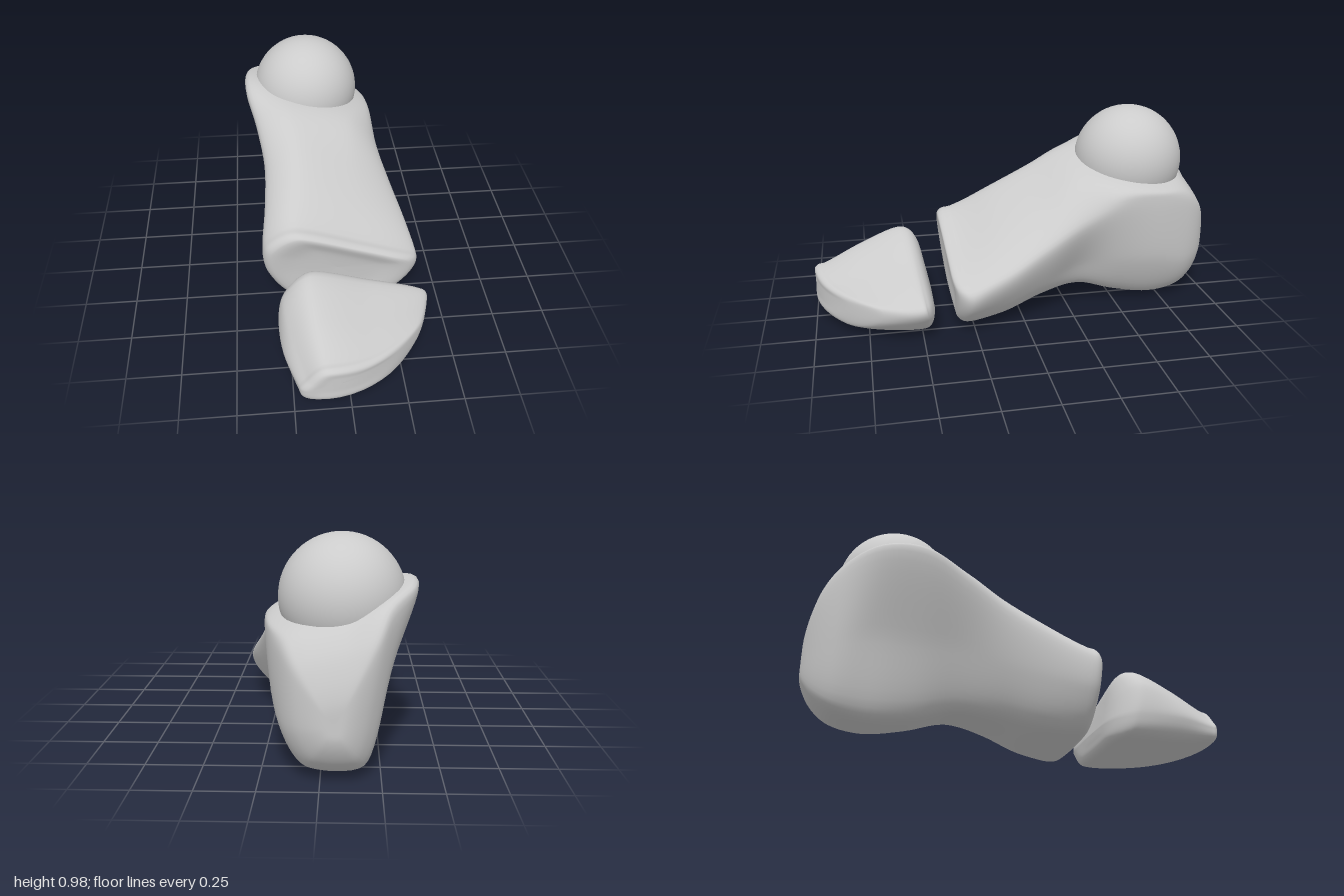
import * as THREE from 'three';

const RAILS = 8; // points per cross-section
const AROUND = 64;
const STEPS = 5; // rings between neighbouring sections

// section: [z, x0, y0, x1, y1, ...] counterclockwise from bottom left
function toRing([z, ...xy]) {
  return Array.from({ length: RAILS }, (_, k) => new THREE.Vector3(xy[2 * k], xy[2 * k + 1], z));
}

// shrunken copy of a ring, used to round off an end
function capRing(ring, z, scale, cx, cy) {
  return ring.map((p) => new THREE.Vector3(cx + (p.x - cx) * scale, cy + (p.y - cy) * scale, z));
}

// smooth skin through rings ordered from back to front; bend(p) shifts a point along z
function loft(rings, bend) {
  const rails = Array.from({ length: RAILS }, (_, k) =>
    new THREE.CatmullRomCurve3(rings.map((r) => r[k]), false, 'centripetal'));
  const rows = (rings.length - 1) * STEPS;
  const pos = [];
  const index = [];
  for (let i = 0; i <= rows; i++) {
    const loop = new THREE.CatmullRomCurve3(rails.map((c) => c.getPoint(i / rows)), true, 'catmullrom', 0.4);
    for (let j = 0; j < AROUND; j++) {
      const p = loop.getPoint(j / AROUND);
      pos.push(p.x, Math.max(p.y, 0), p.z + bend(p));
      if (i === rows) continue;
      const n = (j + 1) % AROUND;
      const a = i * AROUND + j;
      const b = i * AROUND + n;
      index.push(a, b, a + AROUND, b, b + AROUND, a + AROUND);
    }
  }
  const geo = new THREE.BufferGeometry();
  geo.setAttribute('position', new THREE.Float32BufferAttribute(pos, 3));
  geo.setIndex(index);
  geo.computeVertexNormals();
  return geo;
}

// body of sections plus rounded ends; caps are [z, scale] lists about a centre
function roundedLoft(sections, back, backCentre, front, frontCentre, bend) {
  const rings = sections.map(toRing);
  const first = rings[0];
  const last = rings[rings.length - 1];
  return loft([
    ...back.map(([z, s]) => capRing(first, z, s, ...backCentre)),
    ...rings,
    ...front.map(([z, s]) => capRing(last, z, s, ...frontCentre)),
  ], bend);
}

// lean the front face of the foot forward at its top and round its right corner
function leanFront(p) {
  const right = Math.max(0, p.x - 0.25);
  return Math.max(0, p.z - 0.2) * (0.7 * (p.y - 0.3) - 8 * right * right);
}

// sweep the toe tips back to the right, and slope the rear face
function sweepToes(p) {
  const u = THREE.MathUtils.clamp((p.z - 0.47) / 0.53, 0, 1);
  const right = Math.max(0, p.x + 0.13);
  const left = Math.max(0, -0.1 - p.x);
  const rear = 0.2 * Math.max(0, p.y - 0.12) + 1.5 * left * left;
  return (1 - u) * rear - 1.25 * u * right * right;
}

export function createModel() {
  const group = new THREE.Group();
  const material = new THREE.MeshStandardMaterial({ color: 0xcccccc });
  const add = (name, geometry) => {
    const mesh = new THREE.Mesh(geometry, material);
    mesh.name = name;
    group.add(mesh);
    return mesh;
  };

  // heel, arch and ball of the foot
  add('foot', roundedLoft(
    [
      [-0.85, -0.18, 0.05, 0.06, 0.045, 0.16, 0.22, 0.165, 0.53, 0.1, 0.6, -0.12, 0.66, -0.29, 0.695, -0.26, 0.34],
      [-0.7, -0.17, 0.03, 0.08, 0.025, 0.2, 0.25, 0.225, 0.56, 0.17, 0.63, -0.2, 0.73, -0.39, 0.755, -0.27, 0.37],
      [-0.5, -0.14, 0.06, 0.09, 0.06, 0.2, 0.26, 0.255, 0.56, 0.19, 0.655, -0.2, 0.765, -0.405, 0.76, -0.26, 0.37],
      [-0.3, -0.12, 0.115, 0.1, 0.115, 0.18, 0.25, 0.27, 0.49, 0.13, 0.66, -0.2, 0.75, -0.36, 0.67, -0.25, 0.37],
      [-0.1, -0.14, 0.095, 0.14, 0.09, 0.25, 0.2, 0.315, 0.395, 0.12, 0.56, -0.17, 0.665, -0.325, 0.56, -0.27, 0.3],
      [0.1, -0.18, 0.045, 0.19, 0.035, 0.32, 0.15, 0.365, 0.3, 0.13, 0.45, -0.17, 0.565, -0.33, 0.46, -0.31, 0.24],
      [0.29, -0.2, 0.028, 0.21, 0.014, 0.365, 0.12, 0.385, 0.24, 0.1, 0.36, -0.2, 0.46, -0.347, 0.37, -0.34, 0.2],
    ],
    [[-1, 0], [-0.998, 0.25], [-0.975, 0.51], [-0.93, 0.77]], [-0.06, 0.27],
    [[0.335, 0.97], [0.358, 0.88], [0.345, 0.5], [0.34, 0]], [0, 0.22],
    leanFront,
  ));

  // wedge of the toes, longest on the right side
  add('toes', roundedLoft(
    [
      [0.52, -0.21, 0.022, 0.24, 0.014, 0.375, 0.1, 0.395, 0.19, 0.12, 0.295, -0.15, 0.385, -0.275, 0.28, -0.295, 0.12],
      [0.75, -0.2, 0.024, 0.23, 0.016, 0.37, 0.1, 0.38, 0.18, 0.11, 0.25, -0.14, 0.315, -0.25, 0.22, -0.285, 0.12],
      [0.95, -0.18, 0.05, 0.21, 0.035, 0.34, 0.1, 0.34, 0.18, 0.1, 0.208, -0.115, 0.235, -0.2, 0.16, -0.23, 0.11],
    ],
    [[0.435, 0], [0.437, 0.4], [0.445, 0.8], [0.47, 0.96]], [0.03, 0.12],
    [[0.982, 0.94], [1, 0.78], [1, 0.4], [1, 0]], [-0.05, 0.15],
    sweepToes,
  ));

  // ball of the ankle joint, sunk into the foot
  add('ankleBall', new THREE.SphereGeometry(0.27, 48, 32)).position.set(-0.085, 0.71, -0.602);

  return group;
}
